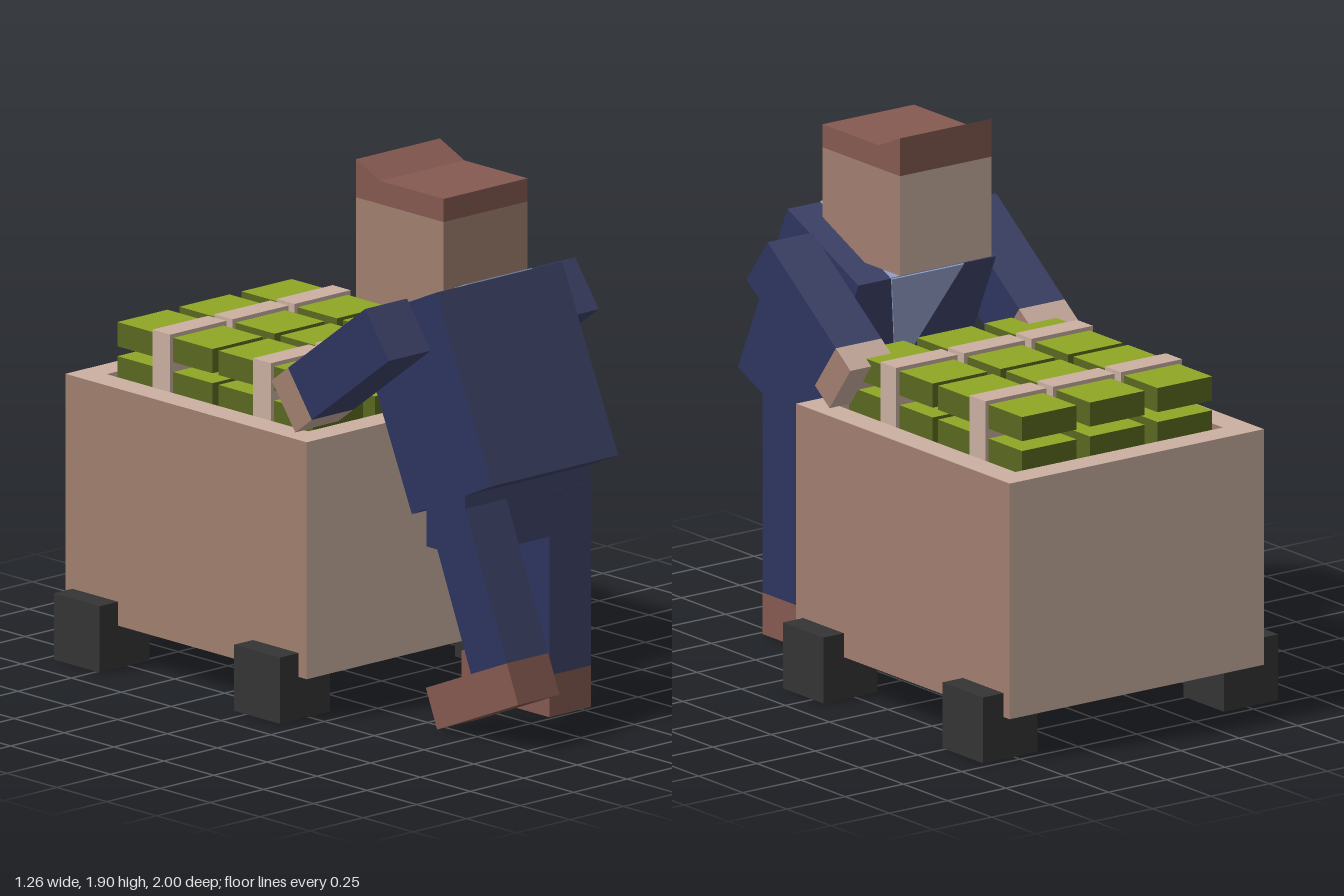
import * as THREE from 'three';

export function createModel() {
  const model = new THREE.Group();
  const paint = (name, color) => {
    const m = new THREE.MeshStandardMaterial({ color });
    m.name = name;
    return m;
  };
  const beige = paint('beige', 0xcbb0a1);
  const tan = paint('tan', 0xa17f6f);
  const blue = paint('jacket blue', 0x3e4369);
  const blueSide = paint('deep blue', 0x2d355f);
  const brown = paint('reddish brown', 0x855a51);
  const black = paint('wheel black', 0x343434);
  const lime = paint('lime green', 0x8fa623);
  const olive = paint('olive green', 0x5a6820);
  const shirt = paint('shirt blue', 0x9aa5d0);

  // Face order: +x, -x, +y, -y, +z, -z
  const woodFaces = [tan, tan, beige, beige, beige, beige];
  const clothFaces = [blueSide, blueSide, blue, blue, blue, blue];
  const headFaces = [tan, tan, tan, tan, tan, beige];
  const barFaces = [olive, olive, lime, olive, olive, olive];

  // Box given by its limits on each axis
  function box(parent, name, [x0, x1], [y0, y1], [z0, z1], material) {
    const mesh = new THREE.Mesh(new THREE.BoxGeometry(x1 - x0, y1 - y0, z1 - z0), material);
    mesh.position.set((x0 + x1) / 2, (y0 + y1) / 2, (z0 + z1) / 2);
    mesh.name = name;
    parent.add(mesh);
    return mesh;
  }
  function group(parent, name, y = 0, z = 0, degrees = 0) {
    const g = new THREE.Group();
    g.name = name;
    g.position.set(0, y, z);
    g.rotation.x = THREE.MathUtils.degToRad(degrees);
    parent.add(g);
    return g;
  }
  const span = (side, a, b) => (side > 0 ? [a, b] : [-b, -a]);

  // Cart: solid lower body with a rim around a shallow recess
  const cart = group(model, 'cart');
  const floorY = 0.94;
  box(cart, 'cartBody', [-0.545, 0.545], [0.15, floorY], [-1, 0.21], woodFaces);
  box(cart, 'frontRim', [-0.445, 0.445], [floorY, 0.99], [0.11, 0.21], beige);
  box(cart, 'backRim', [-0.445, 0.445], [floorY, 0.99], [-1, -0.9], beige);
  for (const s of [1, -1]) {
    box(cart, 'sideRim', span(s, 0.445, 0.545), [floorY, 0.99], [-1, 0.21], woodFaces);
    for (const z of [-0.965, -0.06])
      box(cart, 'wheel', span(s, 0.4, 0.632), [0, 0.235], [z, z + 0.23], black);
  }

  // Cargo: two rows of three strapped stacks, two bars high
  const cargo = group(model, 'cargo');
  const rows = [
    { bar: [-0.88, -0.403], strap: [-0.69, -0.6] },
    { bar: [-0.373, 0.1], strap: [-0.185, -0.095] },
  ];
  for (const cx of [-0.297, -0.007, 0.284]) {
    const barX = [cx - 0.117, cx + 0.117];
    for (const row of rows) {
      box(cargo, 'lowerBar', barX, [floorY, 1.052], row.bar, barFaces);
      box(cargo, 'upperBar', barX, [1.087, 1.173], row.bar, barFaces);
      box(cargo, 'strap', [cx - 0.131, cx + 0.131], [floorY, 1.187], row.strap, beige);
    }
  }

  // Figure leaning forward over the cart
  const figure = group(model, 'figure');

  // Legs pivot at the heel; one stands, the other pushes off
  function leg(name, side, y, z, degrees) {
    const g = group(figure, name, y, z, degrees);
    const x = span(side, 0.1, 0.293);
    box(g, 'boot', x, [0, 0.148], [-0.44, 0], brown);
    box(g, 'trouserLeg', x, [0.148, 0.8], [-0.195, 0], clothFaces);
  }
  leg('leftLeg', 1, 0, 0.735, 0);
  leg('rightLeg', -1, 0.17, 1.0, -22.5);
  box(figure, 'hips', [-0.293, 0.293], [0.64, 0.9], [0.54, 0.734], clothFaces);

  // Torso pivots at the top of the back
  const torso = group(figure, 'torso', 1.55, 0.59, -24);
  box(torso, 'jacket', [-0.295, 0.295], [-0.69, 0], [-0.44, 0], clothFaces);
  box(torso, 'shirtTop', [-0.155, 0.155], [0, 0.004], [-0.44, 0], shirt);
  const opening = new THREE.Shape([
    new THREE.Vector2(-0.155, 0), new THREE.Vector2(0, -0.45), new THREE.Vector2(0.155, 0),
  ]);
  const shirtFront = new THREE.Mesh(
    new THREE.ExtrudeGeometry(opening, { depth: 0.005, bevelEnabled: false }), shirt);
  shirtFront.position.z = -0.445;
  shirtFront.name = 'shirtFront';
  torso.add(shirtFront);

  // Arms pivot at the top of the shoulder and reach down to the cargo
  for (const s of [1, -1]) {
    const arm = group(figure, s > 0 ? 'leftArm' : 'rightArm', 1.5, 0.445, -36.5);
    const x = span(s, 0.295, 0.49);
    box(arm, 'sleeve', x, [-0.2, 0], [-0.482, 0], clothFaces);
    box(arm, 'hand', x, [-0.2, 0], [-0.585, -0.482], woodFaces);
  }

  // Head with a cap of hair that rises over the forehead
  const head = group(figure, 'head');
  box(head, 'face', [-0.196, 0.196], [1.413, 1.768], [0.083, 0.522], headFaces);
  const profile = new THREE.Shape([
    [0.083, 1.768], [0.522, 1.768], [0.522, 1.85], [0.205, 1.85], [0.083, 1.903],
  ].map(([z, y]) => new THREE.Vector2(z, y)));
  const hairGeometry = new THREE.ExtrudeGeometry(profile, { depth: 0.392, bevelEnabled: false });
  hairGeometry.rotateY(-Math.PI / 2).translate(0.196, 0, 0);
  const hair = new THREE.Mesh(hairGeometry, brown);
  hair.name = 'hair';
  head.add(hair);

  return model;
}
